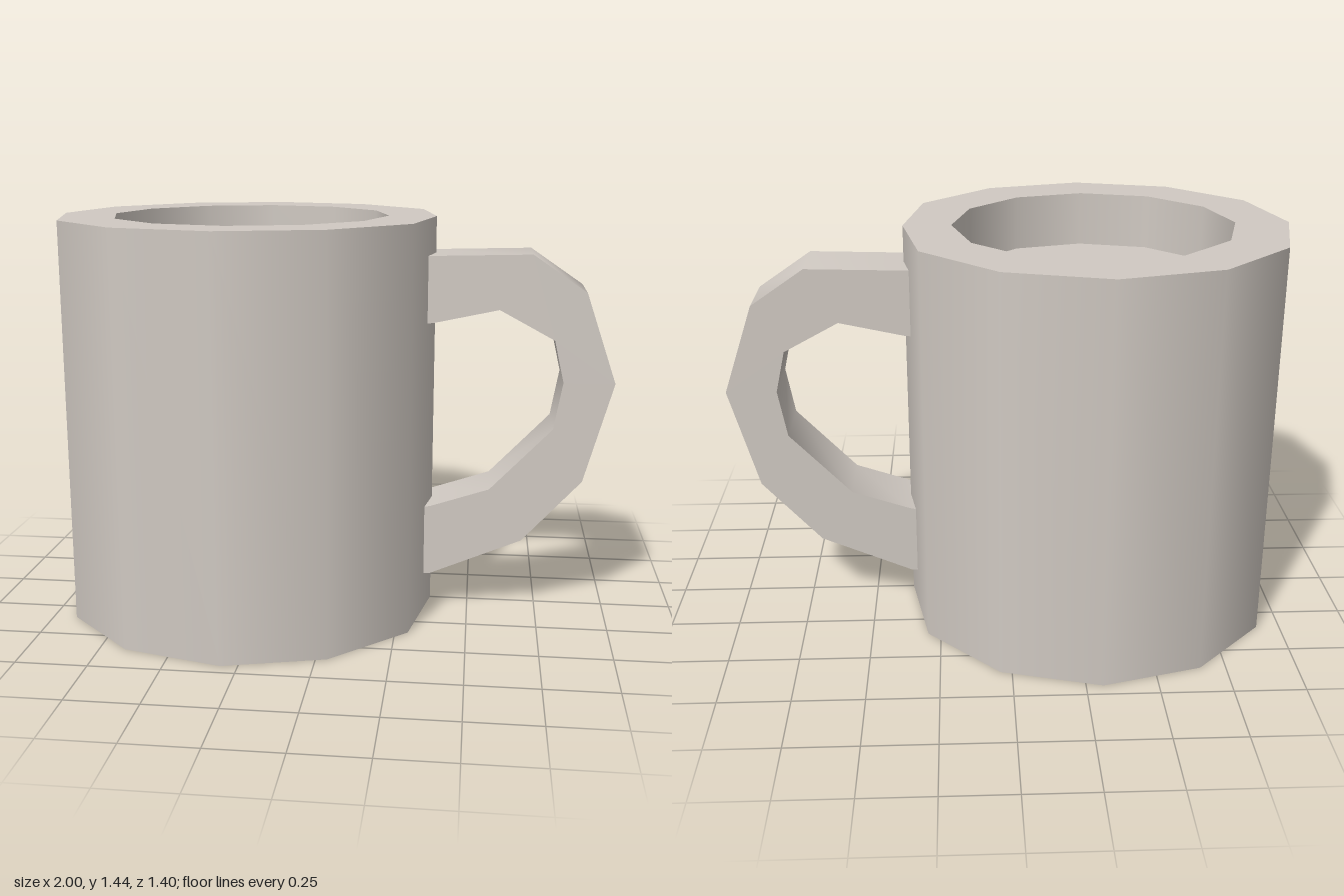
import * as THREE from 'three';
import { toCreasedNormals } from 'three/addons/utils/BufferGeometryUtils.js';

const SIDES = 12, HEIGHT = 1.44, FILL = 1.24, CENTRE = -0.31;
const OUTER = 0.7, INNER = 0.5;
const clampX = (x) => Math.min(0.67, Math.max(-0.69, x));

// Twelve-sided outline, slightly flattened at the two x ends
function outline(r) {
  return Array.from({ length: SIDES }, (_, i) => {
    const a = (i / SIDES) * Math.PI * 2;
    return new THREE.Vector2(clampX(r * Math.cos(a)), r * Math.sin(a));
  });
}

// Smooth wall; faces outward when y0 < y1, inward when y0 > y1
function wall(r, y0, y1) {
  const geo = new THREE.LatheGeometry([new THREE.Vector2(r, y0), new THREE.Vector2(r, y1)], SIDES);
  const p = geo.attributes.position;
  for (let i = 0; i < p.count; i++) p.setX(i, clampX(p.getX(i)));
  return geo;
}

// Flat horizontal face facing up (1) or down (-1)
function disc(r, y, facing, holeR) {
  const shape = new THREE.Shape(outline(r));
  if (holeR) shape.holes.push(new THREE.Path(outline(holeR)));
  return new THREE.ShapeGeometry(shape).rotateX(-facing * Math.PI / 2).translate(0, y, 0);
}

export function createModel() {
  const group = new THREE.Group();
  group.name = 'mug';
  const ceramic = new THREE.MeshStandardMaterial({ color: 0xd0c9c2 });
  ceramic.name = 'warm grey ceramic';

  const add = (name, geo, x = 0) => {
    const mesh = new THREE.Mesh(geo, ceramic);
    mesh.name = name;
    mesh.position.x = x;
    group.add(mesh);
  };

  // Cup
  add('outerWall', wall(OUTER, 0, HEIGHT), CENTRE);
  add('innerWall', wall(INNER, HEIGHT, FILL), CENTRE);
  add('rim', disc(OUTER, HEIGHT, 1, INNER), CENTRE);
  add('innerFloor', disc(INNER, FILL, 1), CENTRE);
  add('base', disc(OUTER, 0, -1), CENTRE);

  // Handle: outer curve downward, then inner curve back up
  const loop = [
    [0.31, 1.31], [0.70, 1.32], [0.89, 1.19], [1.0, 0.87], [0.90, 0.51], [0.69, 0.28], [0.36, 0.14], [0.31, 0.14],
    [0.31, 0.39], [0.36, 0.40], [0.57, 0.47], [0.79, 0.70], [0.82, 0.87], [0.785, 1.02], [0.59, 1.125], [0.36, 1.075], [0.31, 1.07],
  ].map(([x, y]) => new THREE.Vector2(x, y));
  const handle = new THREE.ExtrudeGeometry(new THREE.Shape(loop), { depth: 0.24, bevelEnabled: false });
  handle.translate(0, 0, -0.12);
  add('handle', toCreasedNormals(handle, 1.05));

  return group;
}
